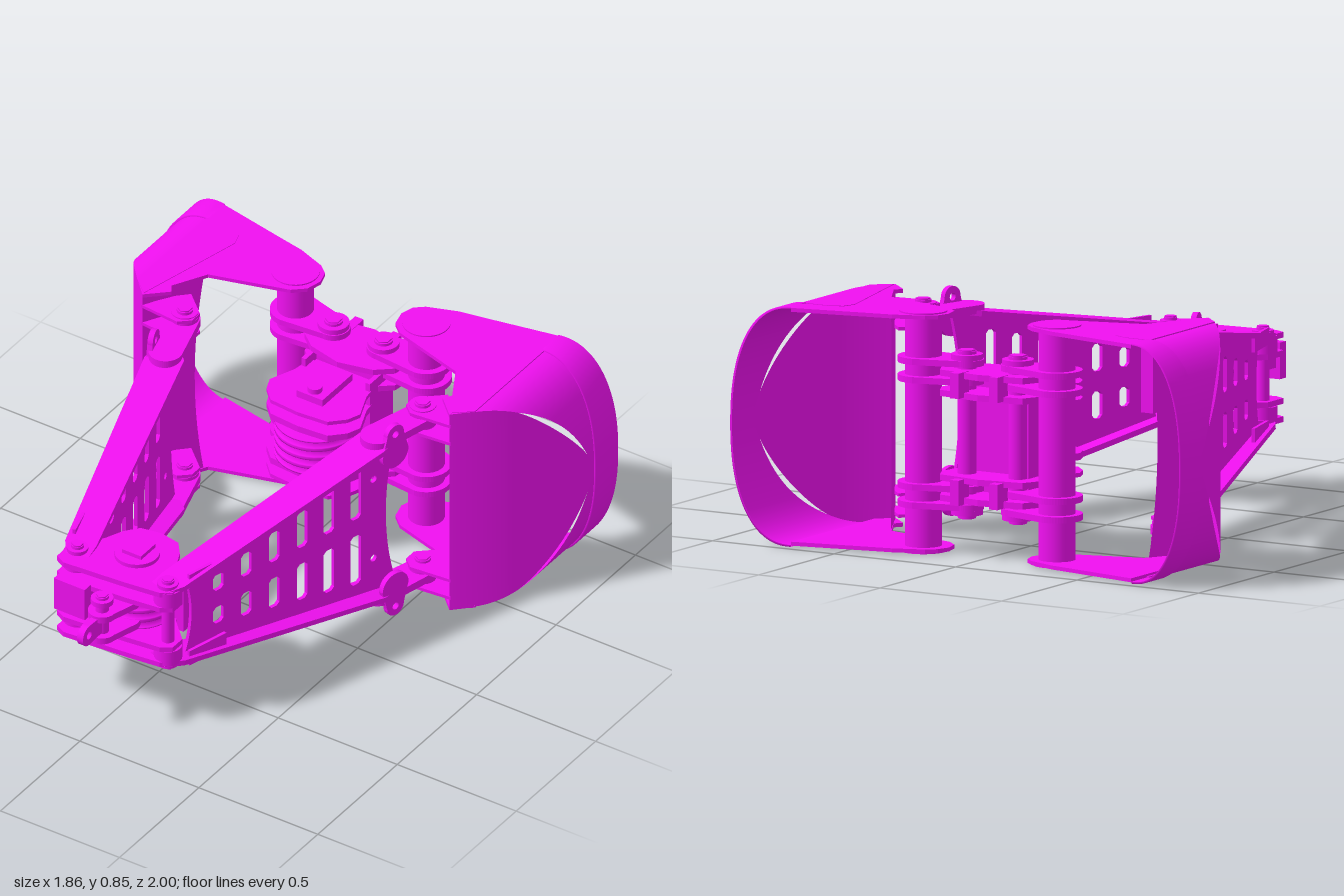
import * as THREE from 'three';

const mat = new THREE.MeshStandardMaterial({ color: 0xf010f0, side: THREE.DoubleSide });
const C = 0.43; // mid height of the whole grab

function add(parent, name, geo, x = 0, y = 0, z = 0) {
  const m = new THREE.Mesh(geo, mat);
  m.name = name;
  m.position.set(x, y, z);
  parent.add(m);
  return m;
}
const box = (p, n, w, h, d, x, y, z) => add(p, n, new THREE.BoxGeometry(w, h, d), x, y, z);
const cyl = (p, n, r, h, x, y, z, seg = 28) => add(p, n, new THREE.CylinderGeometry(r, r, h, seg), x, y, z);

// horizontal plate from an outline in (x, z), centred on height y
function slab(p, n, shape, y, t) {
  const g = new THREE.ExtrudeGeometry(shape, { depth: t, bevelEnabled: false, curveSegments: 14 });
  g.rotateX(Math.PI / 2).translate(0, t / 2, 0);
  return add(p, n, g, 0, y, 0);
}
const poly = pts => new THREE.Shape(pts.map(a => new THREE.Vector2(a[0], a[1])));
const mirrorPoly = pts => poly([...pts, ...pts.slice().reverse().filter(a => a[0] > 0).map(a => [-a[0], a[1]])]);

// outline wrapped round two circles
function linkShape(ax, az, ra, bx, bz, rb) {
  const a = Math.atan2(bz - az, bx - ax), q = Math.PI / 2, s = new THREE.Shape();
  s.absarc(ax, az, ra, a + q, a + 3 * q, false);
  s.absarc(bx, bz, rb, a - q, a + q, false);
  return s;
}

// surface swept over a u-v grid
function surface(fn, nu, nv) {
  const pos = [], idx = [];
  for (let i = 0; i <= nu; i++) for (let j = 0; j <= nv; j++) pos.push(...fn(i / nu, j / nv));
  for (let i = 0; i < nu; i++) for (let j = 0; j < nv; j++) {
    const a = i * (nv + 1) + j, b = a + nv + 1;
    idx.push(a, a + 1, b, b, a + 1, b + 1);
  }
  const g = new THREE.BufferGeometry();
  g.setAttribute('position', new THREE.Float32BufferAttribute(pos, 3));
  g.setIndex(idx);
  g.computeVertexNormals();
  return g;
}

// bolt: washer, hexagonal head and shank
function bolt(p, n, x, z, y0, y1, r) {
  cyl(p, n, r * 0.6, y1 - y0, x, (y0 + y1) / 2, z, 20);
  for (const [y, s] of [[y0, 1], [y1, -1]]) {
    cyl(p, n + 'Washer', r, 0.02, x, y + s * 0.02, z);
    cyl(p, n + 'Head', r * 0.55, 0.02, x, y + s * 0.005, z, 6);
  }
}

// grooved rope wheels stacked on a vertical axle
function sheaves(p, n, r, x, z, y0, y1, count) {
  const pts = [[0.02, y0]], h = (y1 - y0) / count;
  for (let i = 0; i < count; i++)
    for (const [f, k] of [[0.05, 1], [0.2, 1], [0.5, 0.82], [0.8, 1], [0.95, 1]]) pts.push([r * k, y0 + h * (i + f)]);
  pts.push([0.02, y1]);
  add(p, n, new THREE.LatheGeometry(pts.map(a => new THREE.Vector2(...a)), 36), x, 0, z);
}

// shell curves: outX is the plan profile, roundX/roundY the end profile
const outX = w => 0.645 + 0.275 * (1 - (1 - w) ** 1.9);
const outW = x => 1 - Math.max(0, 1 - (x - 0.645) / 0.275) ** (1 / 1.9);
const gap = w => Math.sin(Math.PI * Math.min(1, Math.max(0, (w - 0.38) / 0.54)));
const lipZ = x => -1 + (0.92 - x) * 0.17;
const P = 2.3;
function rounded(v) {
  const a = (v - 0.5) * Math.PI;
  return [0.7 + 0.22 * Math.max(0, Math.cos(a)) ** (2 / P),
    C + 0.42 * Math.sign(a) * Math.abs(Math.sin(a)) ** (2 / P)];
}

function bucket() {
  const g = new THREE.Group();
  g.name = 'bucketShell';
  add(g, 'shellMiddlePanel', surface((w, v) => {
    const x = outX(w);
    let h = x <= 0.7 ? 0.42 : 0.42 * Math.max(0, 1 - ((x - 0.7) / 0.22) ** P) ** (1 / P);
    h = Math.max(0, h - 0.014 * gap(w));
    return [x, C + h * (2 * v - 1), -0.36 - 0.5 * w];
  }, 40, 12));
  add(g, 'shellRoundedPanel', surface((u, v) => {
    const [x, y] = rounded(v), w = outW(x);
    return [x, y, THREE.MathUtils.lerp(lipZ(x), -0.36 - 0.5 * w - 0.016 * gap(w), u)];
  }, 12, 60));
  // thicker cutting lip
  add(g, 'cuttingLip', surface((u, v) => {
    const [x, y] = rounded(v), k = [0, 0.008, 0.008, 0][Math.round(u * 3)];
    return [x + k * (x - 0.6) * 3, y + k * (y - C) * 2, u < 0.5 ? lipZ(x) : -0.86];
  }, 3, 60));
  // inner wall with a bowed edge
  add(g, 'innerWall', surface((u, v) => {
    const k = u * (0.85 + 0.15 * (2 * v - 1) ** 2);
    return [0.645 - 0.115 * k, C + 0.42 * (2 * v - 1), -0.36 - 0.215 * k];
  }, 2, 24));
  const side = [[0.7, -0.963], [0.41, -0.905], [0.33, -0.89], [0.22, -0.85], [0.185, -0.82], [0.17, -0.77],
    [0.185, -0.71], [0.23, -0.67], [0.52, -0.587], [0.59, -0.46], [0.57, -0.43], [0.645, -0.36], [0.7, -0.415]];
  const wear = [[0.71, -0.86], [0.61, -0.86], [0.56, -0.84], [0.545, -0.79], [0.645, -0.37], [0.71, -0.425]];
  for (const s of [-1, 1]) {
    slab(g, 'sidePlate', poly(side), C + s * 0.415, 0.014);
    slab(g, 'wearPlate', poly(wear), C + s * 0.42, 0.008);
    cyl(g, 'tubeCap', 0.085, 0.012, 0.275, C + s * 0.421, -0.77, 40);
    // lugs to the centre hinge
    for (const d of [0.255, 0.19]) slab(g, 'hingeLug', linkShape(0.275, -0.77, 0.09, 0.105, -0.755, 0.06), C + s * d, 0.022);
    // lugs to the arm
    for (const d of [0.37, 0.295])
      slab(g, 'armLug', poly([[0.65, -0.36], [0.49, -0.345], [0.45, -0.38], [0.45, -0.43], [0.54, -0.51], [0.58, -0.47]]), C + s * d, 0.012);
    bolt(g, 'armPin', 0.5, -0.41, C + s * 0.335 - 0.055, C + s * 0.335 + 0.055, 0.048);
  }
  cyl(g, 'crossTube', 0.065, 0.84, 0.275, C, -0.77, 36);
  bolt(g, 'hingePin', 0.105, -0.755, C - 0.295, C + 0.295, 0.056);
  return g;
}

function arm() {
  const g = new THREE.Group();
  g.name = 'arm';
  const k = 1.18 / 1.14, U = z => (0.73 - z) * k; // distance along the arm
  const half = z => 0.17 + (0.64 - z) * 0.1774;
  // web with a concave end and two rows of slots
  const web = new THREE.Shape();
  web.moveTo(U(0.66), -half(0.66));
  web.lineTo(U(-0.29), -half(-0.29));
  web.quadraticCurveTo(U(-0.19), 0, U(-0.29), half(-0.29));
  web.lineTo(U(0.66), half(0.66));
  web.quadraticCurveTo(U(0.6), 0, U(0.66), -half(0.66));
  const slot = (z, a, b, w) => {
    const h = new THREE.Path(), u = U(z), r = 0.012;
    h.moveTo(u - w + r, a); h.lineTo(u + w - r, a); h.lineTo(u + w, a + r);
    h.lineTo(u + w, b - r); h.lineTo(u + w - r, b); h.lineTo(u - w + r, b);
    h.lineTo(u - w, b - r); h.lineTo(u - w, a + r); h.closePath();
    web.holes.push(h);
  };
  [0.51, 0.385, 0.26, 0.135, 0.015, -0.105].forEach((z, i) => {
    const top = 0.105 + 0.028 * i;
    slot(z, 0.036, top, 0.024);
    slot(z, -top, -0.036, 0.024);
  });
  for (const s of [-1, 1]) {
    const h = new THREE.Path();
    h.absarc(U(-0.185), s * 0.17, 0.014, 0, Math.PI * 2);
    web.holes.push(h);
  }
  const wg = new THREE.ExtrudeGeometry(web, { depth: 0.014, bevelEnabled: false, curveSegments: 20 });
  add(g, 'armWeb', wg.translate(0, 0, -0.007), 0, C, 0);

  const flange = poly([[-0.04, -0.05], [0.03, -0.06], [0.98, -0.07], [1.06, -0.02], [1.04, 0.05], [0.96, 0.07], [0.03, 0.055], [-0.04, 0.03]]);
  const ear = linkShape(0, 0, 0.038, 0, -0.08, 0.06), hole = new THREE.Path();
  hole.absarc(0, 0, 0.014, 0, Math.PI * 2);
  ear.holes.push(hole);
  const earGeo = new THREE.ExtrudeGeometry(ear, { depth: 0.02, bevelEnabled: false });
  for (const s of [-1, 1]) {
    const f = slab(g, 'armFlange', flange, C + s * 0.155, 0.02);
    f.rotation.z = s * Math.atan(0.1774 / k);
    box(g, 'stiffenerFin', 0.17, 0.06, 0.012, 0.15, C + s * 0.165, 0.035);
    add(g, 'liftingEar', earGeo, U(-0.235), C + s * 0.37, 0.045).scale.y = s;
    slab(g, 'armEnd', linkShape(0.97, 0, 0.06, 1.18, 0, 0.055), C + s * 0.335, 0.03);
    cyl(g, 'armEndBush', 0.05, 0.055, 1.18, C + s * 0.335, 0);
    cyl(g, 'headBush', 0.05, 0.06, 0, C + s * 0.125, 0);
  }
  g.position.set(0.19, 0, 0.73);
  g.rotation.y = Math.atan2(1.14, 0.31);
  return g;
}

function centreBlock() {
  const g = new THREE.Group();
  g.name = 'centreBlock';
  const bracket = mirrorPoly([[0, -0.855], [0.06, -0.845], [0.17, -0.83], [0.2, -0.77], [0.19, -0.7], [0.13, -0.65], [0, -0.62]]);
  const cheek = mirrorPoly([[0, -0.66], [0.14, -0.66], [0.15, -0.58], [0.19, -0.48], [0.17, -0.43], [0.12, -0.38], [0, -0.37]]);
  for (const s of [-1, 1]) {
    for (const d of [0.222, 0.15]) slab(g, 'hingeBracket', bracket, C + s * d, 0.022);
    slab(g, 'sheaveCheek', cheek, C + s * 0.095, 0.025);
    slab(g, 'outerCheek', cheek, C + s * 0.16, 0.015);
    box(g, 'axleKeeper', 0.11, 0.03, 0.19, 0, C + s * 0.18, -0.54);
    cyl(g, 'axleEnd', 0.026, 0.05, 0, C + s * 0.19, -0.48);
    for (const x of [-0.08, 0.08]) box(g, 'stopTooth', 0.035, 0.09, 0.07, x, C + s * 0.19, -0.845);
    box(g, 'sideWall', 0.018, 0.4, 0.14, s * 0.135, C, -0.68);
  }
  box(g, 'spinePlate', 0.26, 0.44, 0.025, 0, C, -0.69);
  sheaves(g, 'lowerSheaves', 0.148, 0, -0.49, C - 0.075, C + 0.075, 4);
  return g;
}

function head() {
  const g = new THREE.Group();
  g.name = 'head';
  const plate = poly([[-0.23, 0.77], [-0.23, 0.7], [-0.15, 0.62], [-0.12, 0.55], [-0.08, 0.5], [0, 0.485], [0.08, 0.5],
    [0.12, 0.55], [0.15, 0.62], [0.23, 0.7], [0.23, 0.76], [0.19, 0.785], [0.06, 0.8], [-0.06, 0.81], [-0.19, 0.82], [-0.23, 0.8]]);
  for (const s of [-1, 1]) {
    for (const d of [0.15, 0.085]) slab(g, 'headPlate', plate, C + s * d, 0.02);
    cyl(g, 'sheaveCap', 0.08, 0.02, 0, C + s * 0.165, 0.64, 36);
    box(g, 'axleKeeper', 0.08, 0.03, 0.09, 0, C + s * 0.175, 0.63);
    bolt(g, 'headPin', s * 0.19, 0.73, C - 0.185, C + 0.185, 0.038);
    slab(g, 'tongue', linkShape(0, 0.76, 0.08, 0, 0.86, 0.05), C + s * 0.045, 0.025);
  }
  sheaves(g, 'upperSheaves', 0.13, 0, 0.63, C - 0.075, C + 0.075, 4);
  box(g, 'ropeGuide', 0.05, 0.24, 0.1, 0.15, C, 0.56);
  box(g, 'ropeClampBlock', 0.13, 0.13, 0.04, -0.135, C + 0.05, 0.845);
  box(g, 'ropeClampRib', 0.1, 0.05, 0.1, -0.135, C + 0.05, 0.79);
  bolt(g, 'tonguePin', 0, 0.86, C - 0.075, C + 0.12, 0.04);
  // ring lug standing on edge
  const lug = linkShape(0.96, 0, 0.04, 0.87, 0, 0.035), hole = new THREE.Path();
  hole.absarc(0.96, 0, 0.015, 0, Math.PI * 2);
  lug.holes.push(hole);
  const lg = new THREE.ExtrudeGeometry(lug, { depth: 0.026, bevelEnabled: false });
  add(g, 'ringLug', lg.rotateY(-Math.PI / 2).translate(0.013, 0, 0), 0, C + 0.01, 0);
  return g;
}

export function createModel() {
  const root = new THREE.Group();
  root.name = 'clamshellGrab';
  for (const s of [1, -1]) {
    const half = new THREE.Group();
    half.name = s > 0 ? 'leftHalf' : 'rightHalf';
    half.add(bucket(), arm());
    half.scale.x = s;
    root.add(half);
  }
  root.add(centreBlock(), head());
  return root;
}
